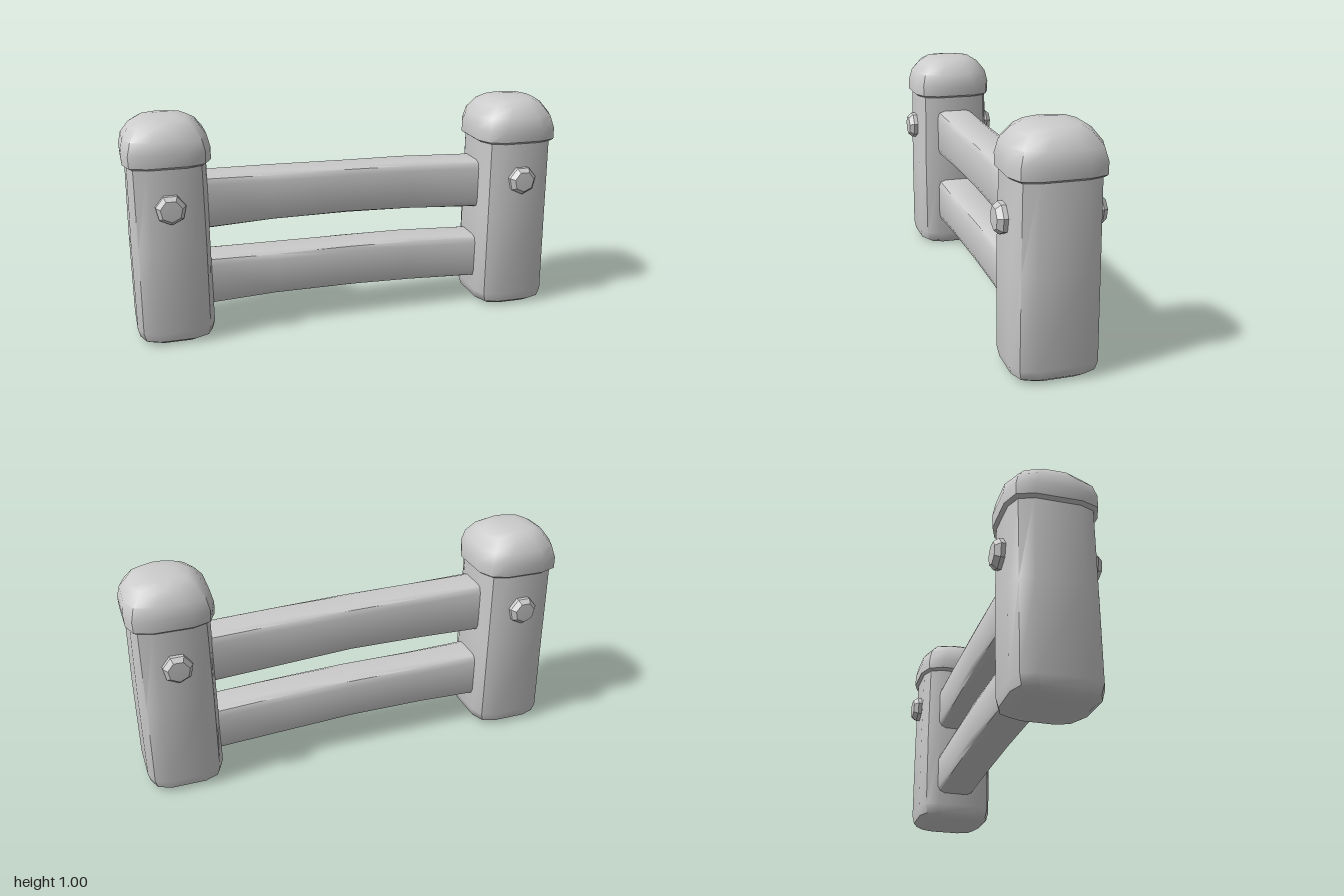
import * as THREE from 'three';
import { toCreasedNormals } from 'three/addons/utils/BufferGeometryUtils.js';

const material = new THREE.MeshStandardMaterial({ color: 0xcccccc });

// Rectangle outline with rounded corners, three points per corner
function ring({ w, hu, hv, c, u = 0, v = 0 }, wobble) {
  const points = [];
  [[1, 1], [-1, 1], [-1, -1], [1, -1]].forEach(([su, sv], q) => {
    for (let k = 0; k < 3; k++) {
      const a = (q + k / 2) * Math.PI / 2;
      const n = 1 + wobble * Math.sin(q * 5.1 + k * 2.3 + w * 9);
      points.push(
        u + (su * (hu - c) + c * Math.cos(a)) * n,
        v + (sv * (hv - c) + c * Math.sin(a)) * n,
        w);
    }
  });
  return points;
}

// Skin a list of outlines along z and close both ends
function loft(stations, wobble = 0) {
  const N = 12, last = stations.length - 1;
  const positions = stations.flatMap((s) => ring(s, wobble));
  const index = [];
  for (let i = 0; i < last; i++) {
    for (let j = 0; j < N; j++) {
      const a = i * N + j, b = i * N + (j + 1) % N;
      index.push(a, b, b + N, a, b + N, a + N);
    }
  }
  const end = positions.length / 3;
  for (const s of [stations[0], stations[last]]) positions.push(s.u ?? 0, s.v ?? 0, s.w);
  for (let j = 0; j < N; j++) {
    const k = (j + 1) % N;
    index.push(end, k, j, end + 1, last * N + j, last * N + k);
  }
  const geometry = new THREE.BufferGeometry();
  geometry.setAttribute('position', new THREE.Float32BufferAttribute(positions, 3));
  geometry.setIndex(index);
  return geometry;
}

function part(name, geometry, crease = 0.75) {
  const mesh = new THREE.Mesh(toCreasedNormals(geometry, crease), material);
  mesh.name = name;
  return mesh;
}

function makePost() {
  const post = new THREE.Group();

  // Upright with a worn lower edge
  post.add(part('postShaft', loft([
    { w: 0, hu: 0.135, hv: 0.145, c: 0.075 },
    { w: 0.02, hu: 0.162, hv: 0.176, c: 0.085 },
    { w: 0.06, hu: 0.172, hv: 0.184, c: 0.085 },
    { w: 0.45, hu: 0.171, hv: 0.184, c: 0.085 },
    { w: 0.84, hu: 0.168, hv: 0.179, c: 0.085 },
  ], 0.008).rotateX(-Math.PI / 2)));

  // Domed cap overhanging the shaft
  post.add(part('postCap', loft([
    { w: 0.808, hu: 0.172, hv: 0.183, c: 0.09 },
    { w: 0.818, hu: 0.187, hv: 0.196, c: 0.1 },
    { w: 0.87, hu: 0.19, hv: 0.197, c: 0.105 },
    { w: 0.925, hu: 0.178, hv: 0.185, c: 0.11 },
    { w: 0.975, hu: 0.142, hv: 0.147, c: 0.1 },
    { w: 0.998, hu: 0.105, hv: 0.11, c: 0.08 },
    { w: 1.005, hu: 0.05, hv: 0.05, c: 0.04 },
  ], 0.016).rotateX(-Math.PI / 2)));

  // Seven-sided pegs on the front and back
  const profile = [[0, 0.15], [0.066, 0.15], [0.066, 0.2], [0.048, 0.222], [0, 0.224]]
    .map(([r, y]) => new THREE.Vector2(r, y));
  for (const [name, turn] of [['frontPeg', 0], ['backPeg', Math.PI]]) {
    const geometry = new THREE.LatheGeometry(profile, 7).rotateX(Math.PI / 2);
    const peg = part(name, geometry, 0.6);
    peg.position.y = 0.635;
    peg.rotation.y = turn;
    post.add(peg);
  }
  return post;
}

// Bowed rail; each row is x, bottom, top, z centre
function makeRail(name, rows) {
  const stations = rows.map(([x, y0, y1, z]) => ({
    w: x, hu: 0.092, hv: (y1 - y0) / 2, c: 0.035, u: -z, v: (y0 + y1) / 2,
  }));
  return part(name, loft(stations, 0.01).rotateY(Math.PI / 2));
}

export function createModel() {
  const model = new THREE.Group();
  model.name = 'fence';

  for (const [name, x, turn] of [['rightPost', -0.812, 0], ['leftPost', 0.808, Math.PI]]) {
    const post = makePost();
    post.name = name;
    post.position.x = x;
    post.rotation.y = turn;
    model.add(post);
  }

  model.add(
    makeRail('upperRail', [
      [-0.68, 0.495, 0.737, 0.005], [-0.35, 0.508, 0.732, 0.002],
      [0, 0.51, 0.728, -0.003], [0.3, 0.498, 0.722, -0.008], [0.68, 0.475, 0.708, -0.014],
    ]),
    makeRail('lowerRail', [
      [-0.68, 0.133, 0.362, 0.005], [-0.35, 0.148, 0.357, 0.002],
      [0, 0.147, 0.356, -0.003], [0.3, 0.138, 0.35, -0.008], [0.68, 0.118, 0.332, -0.014],
    ]),
  );
  return model;
}
